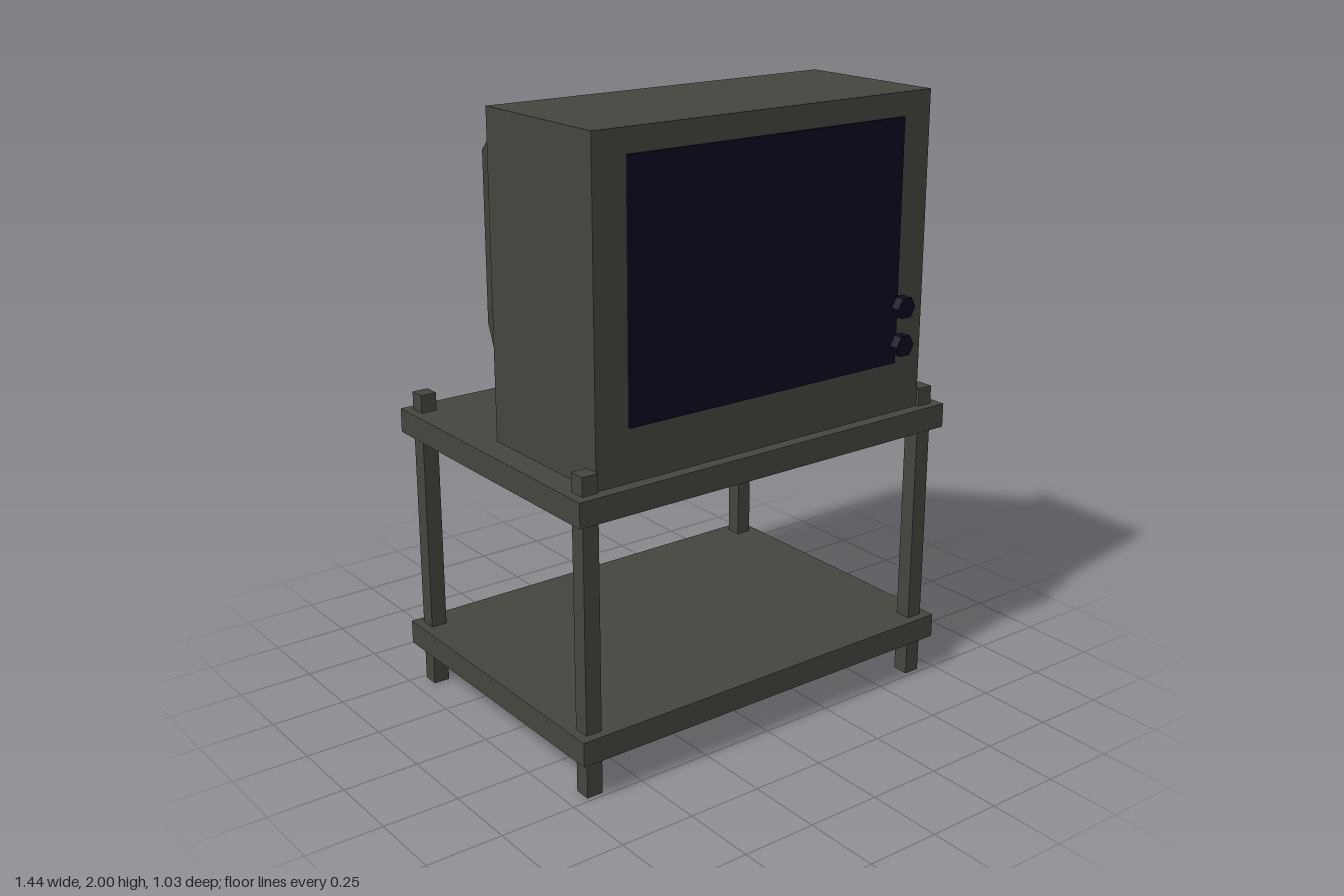
import * as THREE from 'three';

const cabinetGrey = new THREE.MeshStandardMaterial({ color: 0x464640 });
cabinetGrey.name = 'cabinetGrey';
const darkNavy = new THREE.MeshStandardMaterial({ color: 0x0c0c20 });
darkNavy.name = 'darkNavy';

function add(parent, name, geometry, material, x = 0, y = 0, z = 0) {
  const mesh = new THREE.Mesh(geometry, material);
  mesh.name = name;
  mesh.position.set(x, y, z);
  parent.add(mesh);
  return mesh;
}

function rect(target, x0, y0, x1, y1) {
  target.moveTo(x0, y0);
  target.lineTo(x1, y0);
  target.lineTo(x1, y1);
  target.lineTo(x0, y1);
  target.closePath();
  return target;
}

// Rectangular frame: outer and inner bounds, extruded along z
function frame(outer, inner, depth) {
  const shape = rect(new THREE.Shape(), ...outer);
  shape.holes.push(rect(new THREE.Path(), ...inner));
  return new THREE.ExtrudeGeometry(shape, { depth, bevelEnabled: false });
}

function makeStand() {
  const stand = new THREE.Group();
  stand.name = 'stand';
  const shelf = new THREE.BoxGeometry(1.44, 0.08, 1.03);
  add(stand, 'lowerShelf', shelf, cabinetGrey, 0, 0.17, 0);
  add(stand, 'upperShelf', shelf, cabinetGrey, 0, 0.93, 0);
  const leg = new THREE.BoxGeometry(0.055, 1.03, 0.055);
  for (const sx of [-1, 1]) {
    for (const sz of [-1, 1]) {
      add(stand, (sz > 0 ? 'front' : 'back') + (sx > 0 ? 'Left' : 'Right') + 'Leg',
        leg, cabinetGrey, sx * 0.6625, 0.515, sz * 0.4575);
    }
  }
  return stand;
}

function makeTelevision() {
  const tv = new THREE.Group();
  tv.name = 'television';

  // Casing, open at the back, with a front panel around the screen
  const outer = [-0.635, 0.97, 0.635, 2];
  add(tv, 'casingWalls', frame(outer, [-0.63, 0.975, 0.63, 1.995], 0.53), cabinetGrey, 0, 0, -0.06);
  add(tv, 'frontPanel', frame(outer, [-0.515, 1.145, 0.515, 1.915], 0.005), cabinetGrey, 0, 0, 0.47);
  add(tv, 'screen', new THREE.BoxGeometry(1.04, 0.785, 0.0099), darkNavy, 0, 1.5325, 0.4805);

  // Tube housing: a box narrowed towards the back, dark underneath
  const housing = new THREE.BoxGeometry(1.16, 0.96, 0.455).toNonIndexed();
  const p = housing.attributes.position;
  for (let i = 0; i < p.count; i++) {
    if (p.getZ(i) < 0) p.setXY(i, p.getX(i) * 0.655, p.getY(i) * 0.604);
  }
  housing.computeVertexNormals();
  const g = cabinetGrey;
  add(tv, 'tubeHousing', housing, [g, g, g, darkNavy, g, g], 0, 1.49, -0.2875);

  // Hexagonal control knobs
  const knob = new THREE.CylinderGeometry(0.0375, 0.0375, 0.042, 6, 1, false, Math.PI / 2)
    .rotateX(Math.PI / 2).toNonIndexed();
  knob.computeVertexNormals();
  add(tv, 'upperKnob', knob, darkNavy, 0.533, 1.325, 0.494);
  add(tv, 'lowerKnob', knob, darkNavy, 0.533, 1.2, 0.494);
  return tv;
}

export function createModel() {
  const model = new THREE.Group();
  model.name = 'televisionOnStand';
  model.add(makeStand(), makeTelevision());
  return model;
}
